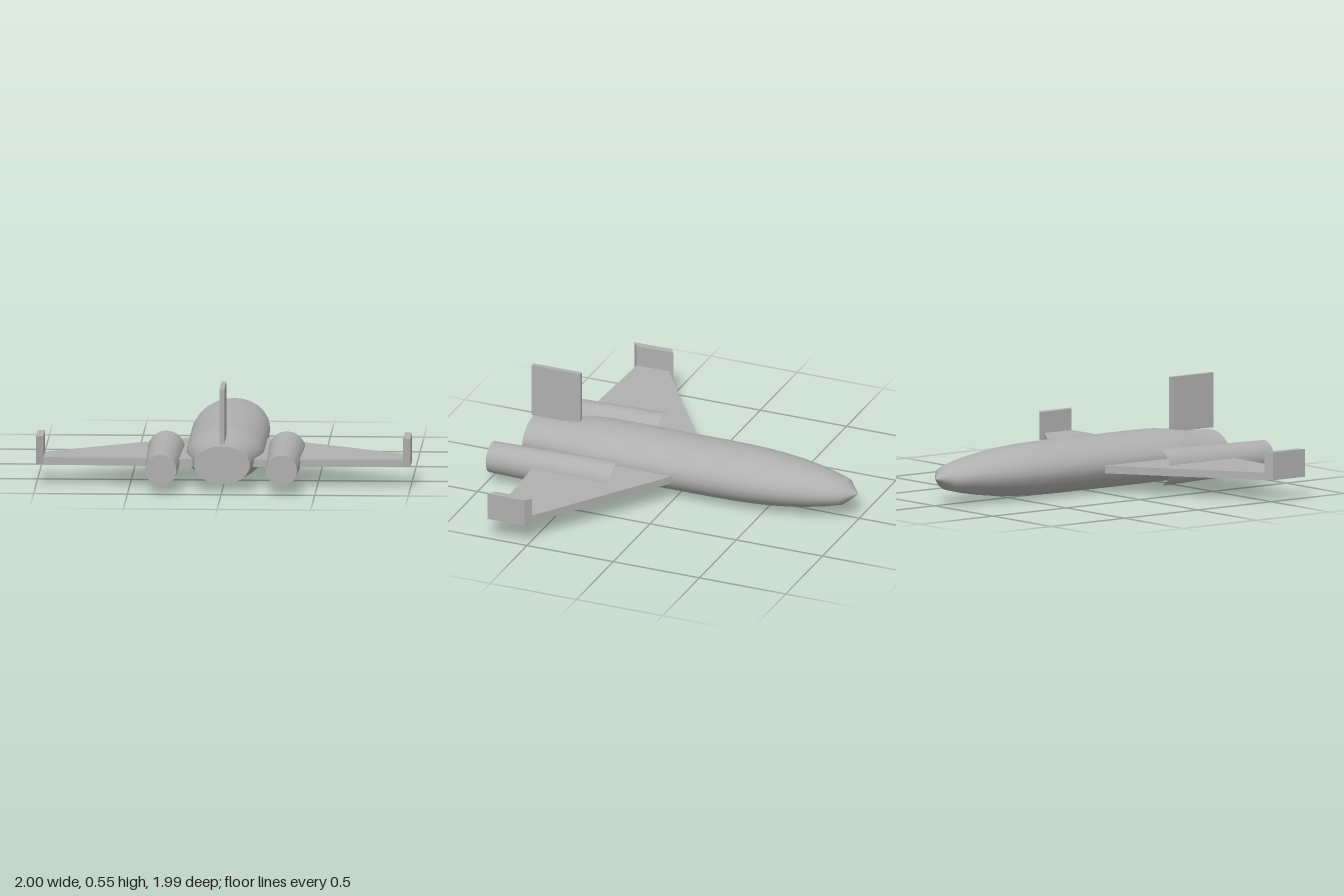
import * as THREE from 'three';

export function createModel() {
  const model = new THREE.Group();
  const grey = new THREE.MeshStandardMaterial({ color: 0xb0b0b0 });
  grey.name = 'hull grey';

  const add = (name, geometry, parent = model) => {
    const mesh = new THREE.Mesh(geometry, grey);
    mesh.name = name;
    parent.add(mesh);
    return mesh;
  };

  // Round body along z from [radius, z] points, with a flat rear cap
  const turned = (name, profile, sides, flatten, x, y) => {
    const group = new THREE.Group();
    group.name = name;
    group.position.set(x, y, 0);
    model.add(group);
    const points = profile.map(([r, z]) => new THREE.Vector2(r, z));
    add(name + 'Skin', new THREE.LatheGeometry(points, sides).rotateX(Math.PI / 2).scale(1, flatten, 1), group);
    const [r, z] = profile[profile.length - 1];
    add(name + 'RearCap', new THREE.CircleGeometry(r, sides).scale(1, flatten, 1).translate(0, 0, z), group);
  };

  // Horizontal plate from [x, z] outline between two heights
  const plate = (name, outline, side, bottom, top) => {
    const shape = new THREE.Shape(outline.map(([x, z]) => new THREE.Vector2(x * side, z)));
    const geometry = new THREE.ExtrudeGeometry(shape, { depth: top - bottom, bevelEnabled: false });
    add(name, geometry.rotateX(Math.PI / 2).translate(0, top, 0));
  };

  // Fuselage: nose towards -z, tapered tail
  turned('fuselage', [
    [0, -0.995], [0.095, -0.92], [0.131, -0.82], [0.158, -0.72], [0.179, -0.62], [0.193, -0.52],
    [0.202, -0.42], [0.207, -0.32], [0.209, -0.2], [0.209, 0.4], [0.207, 0.5], [0.2, 0.56],
    [0.187, 0.62], [0.172, 0.69], [0.16, 0.76], [0.153, 0.83], [0.15, 0.89],
  ], 24, 0.68, 0, 0.145);

  // Wings, winglets and engines on both sides
  for (const [label, side] of [['left', 1], ['right', -1]]) {
    plate(label + 'Wing', [[0.1, 0], [0.208, 0], [0.96, 0.515], [0.96, 0.7], [0.2, 0.73], [0.1, 0.73]], side, 0.112, 0.153);
    plate(label + 'Winglet', [[0.96, 0.487], [1, 0.513], [1, 0.73], [0.96, 0.7]], side, 0.117, 0.267);
    // Engine pods are open at the front
    turned(label + 'Engine', [[0.101, 0.27], [0.084, 0.993]], 16, 1, 0.322 * side, 0.132);
  }

  // Tail fin
  add('tailFin', new THREE.BoxGeometry(0.026, 0.295, 0.282).translate(0, 0.4065, 0.753));

  return model;
}
